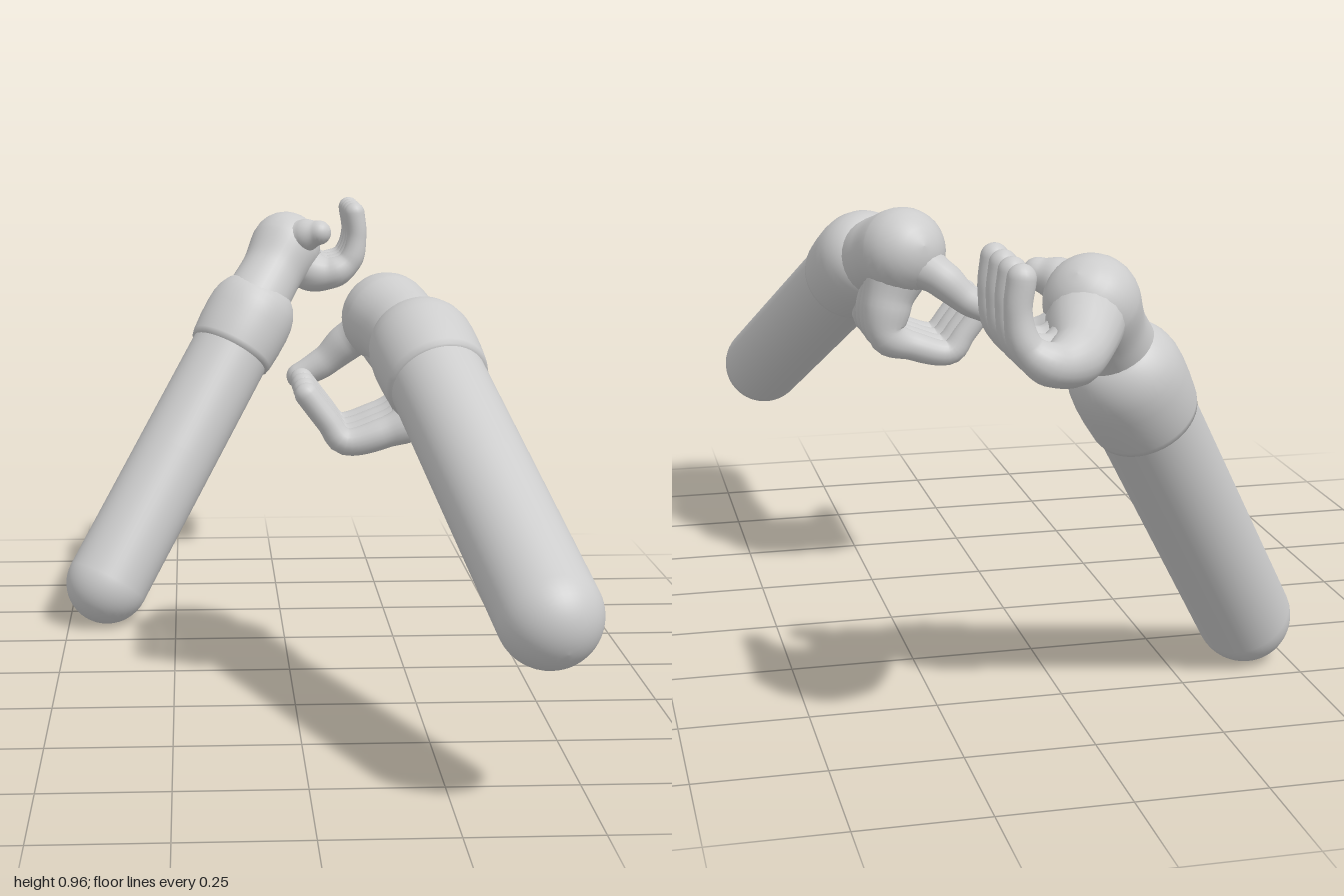
import * as THREE from 'three';

const skin = new THREE.MeshStandardMaterial({ color: 0xcccccc });
skin.name = 'plain grey';

// Round limb swept along points [x, y, z, radius], with rounded ends
function limb(name, pts, steps = 24, sides = 20) {
  const curve = new THREE.CatmullRomCurve3(pts.map(p => new THREE.Vector3(p[0], p[1], p[2])));
  const frames = curve.computeFrenetFrames(steps);
  const radiusAt = u => {
    const f = curve.getUtoTmapping(u) * (pts.length - 1);
    const i = Math.min(Math.floor(f), pts.length - 2);
    return THREE.MathUtils.lerp(pts[i][3], pts[i + 1][3], THREE.MathUtils.smoothstep(f - i, 0, 1));
  };
  const rings = [];
  const capSteps = 7;
  for (let k = 0; k < capSteps; k++) rings.push([0, -Math.PI / 2 * (1 - k / capSteps)]);
  for (let i = 0; i <= steps; i++) rings.push([i, 0]);
  for (let k = 1; k <= capSteps; k++) rings.push([steps, Math.PI / 2 * k / capSteps]);

  const positions = [], index = [];
  rings.forEach(([i, a], row) => {
    const u = i / steps, r = radiusAt(u);
    const centre = curve.getPointAt(u).addScaledVector(frames.tangents[i], r * Math.sin(a));
    const ringRadius = Math.max(r * Math.cos(a), 0.0005);
    for (let j = 0; j < sides; j++) {
      const q = j / sides * Math.PI * 2;
      const v = centre.clone()
        .addScaledVector(frames.normals[i], ringRadius * Math.cos(q))
        .addScaledVector(frames.binormals[i], ringRadius * Math.sin(q));
      positions.push(v.x, v.y, v.z);
      if (row < rings.length - 1) {
        const n = (j + 1) % sides, A = row * sides + j, B = row * sides + n;
        index.push(A, B, A + sides, B, B + sides, A + sides);
      }
    }
  });
  const geo = new THREE.BufferGeometry();
  geo.setAttribute('position', new THREE.Float32BufferAttribute(positions, 3));
  geo.setIndex(index);
  geo.computeVertexNormals();
  const mesh = new THREE.Mesh(geo, skin);
  mesh.name = name;
  return mesh;
}

// Turned part from [radius, height] pairs
function turned(name, profile) {
  const mesh = new THREE.Mesh(
    new THREE.LatheGeometry(profile.map(p => new THREE.Vector2(p[0], p[1])), 48), skin);
  mesh.name = name;
  return mesh;
}

// Forearm with a rounded elbow end and a slightly wider cuff
function forearm(origin, direction) {
  const g = new THREE.Group();
  g.name = 'forearm';
  const R = 0.096, shaft = [];
  for (let i = 0; i <= 12; i++) {
    const a = -Math.PI / 2 * (1 - i / 12);
    shaft.push([R * Math.cos(a), R * Math.sin(a)]);
  }
  shaft.push([R, 0.35], [R, 0.7]);
  g.add(turned('sleeve', shaft));
  g.add(turned('cuff', [
    [0.09, 0.635], [0.101, 0.637], [0.104, 0.65], [0.107, 0.69], [0.108, 0.73],
    [0.106, 0.76], [0.1, 0.783], [0.09, 0.803], [0.075, 0.82], [0.05, 0.834], [0.0, 0.84],
  ]));
  g.position.set(...origin);
  g.quaternion.setFromUnitVectors(new THREE.Vector3(0, 1, 0),
    new THREE.Vector3(...direction).normalize());
  return g;
}

function arm(name, s) {
  const g = new THREE.Group();
  g.name = name;
  g.add(forearm(s.origin, s.direction));
  g.add(limb('wrist', s.wrist, 20, 32));
  g.add(limb('thumb', s.thumb));
  // Each finger fans out of the heel of the hand, so together they make the palm
  s.fingerZ.forEach((z, i) => {
    const path = s.finger.map(([x, y, spread, r]) =>
      [x, y, THREE.MathUtils.lerp(s.heelZ, z, spread), r]);
    g.add(limb('finger' + (i + 1), path, 40));
  });
  return g;
}

export function createModel() {
  const model = new THREE.Group();
  model.name = 'pairOfArms';

  // Rear arm, palm up
  model.add(arm('rightArm', {
    origin: [-0.41, 0.096, -0.4],
    direction: [0.46, 0.79, -0.39],
    wrist: [[-0.06, 0.71, -0.68, 0.08], [-0.012, 0.785, -0.738, 0.076], [0.027, 0.848, -0.785, 0.086]],
    thumb: [[0.035, 0.86, -0.77, 0.06], [0.075, 0.88, -0.735, 0.04], [0.105, 0.888, -0.715, 0.03]],
    heelZ: -0.82,
    fingerZ: [-0.768, -0.834, -0.9, -0.965],
    // x, y, spread, radius
    finger: [[0.045, 0.825, 0, 0.068], [0.09, 0.787, 0.7, 0.05], [0.145, 0.785, 1, 0.038],
      [0.187, 0.815, 1, 0.029], [0.202, 0.875, 1, 0.024], [0.196, 0.932, 1, 0.025]],
  }));

  // Front arm, hand hanging down with curled fingers
  model.add(arm('leftArm', {
    origin: [0.408, 0.365, 0.9],
    direction: [-0.25, 0.6, -1],
    wrist: [[0.255, 0.73, 0.27, 0.08], [0.222, 0.765, 0.185, 0.086], [0.195, 0.785, 0.113, 0.093]],
    thumb: [[0.18, 0.77, 0.085, 0.055], [0.12, 0.73, 0.06, 0.04], [0.07, 0.685, 0.05, 0.032],
      [0.018, 0.655, 0.05, 0.027]],
    heelZ: 0.12,
    fingerZ: [0.1, 0.165, 0.23, 0.293],
    finger: [[0.2, 0.755, 0, 0.07], [0.23, 0.67, 0.6, 0.052], [0.232, 0.605, 0.95, 0.042],
      [0.175, 0.577, 1, 0.031], [0.095, 0.56, 1, 0.027], [0.062, 0.6, 1, 0.024], [0.02, 0.655, 1, 0.024]],
  }));
  return model;
}
